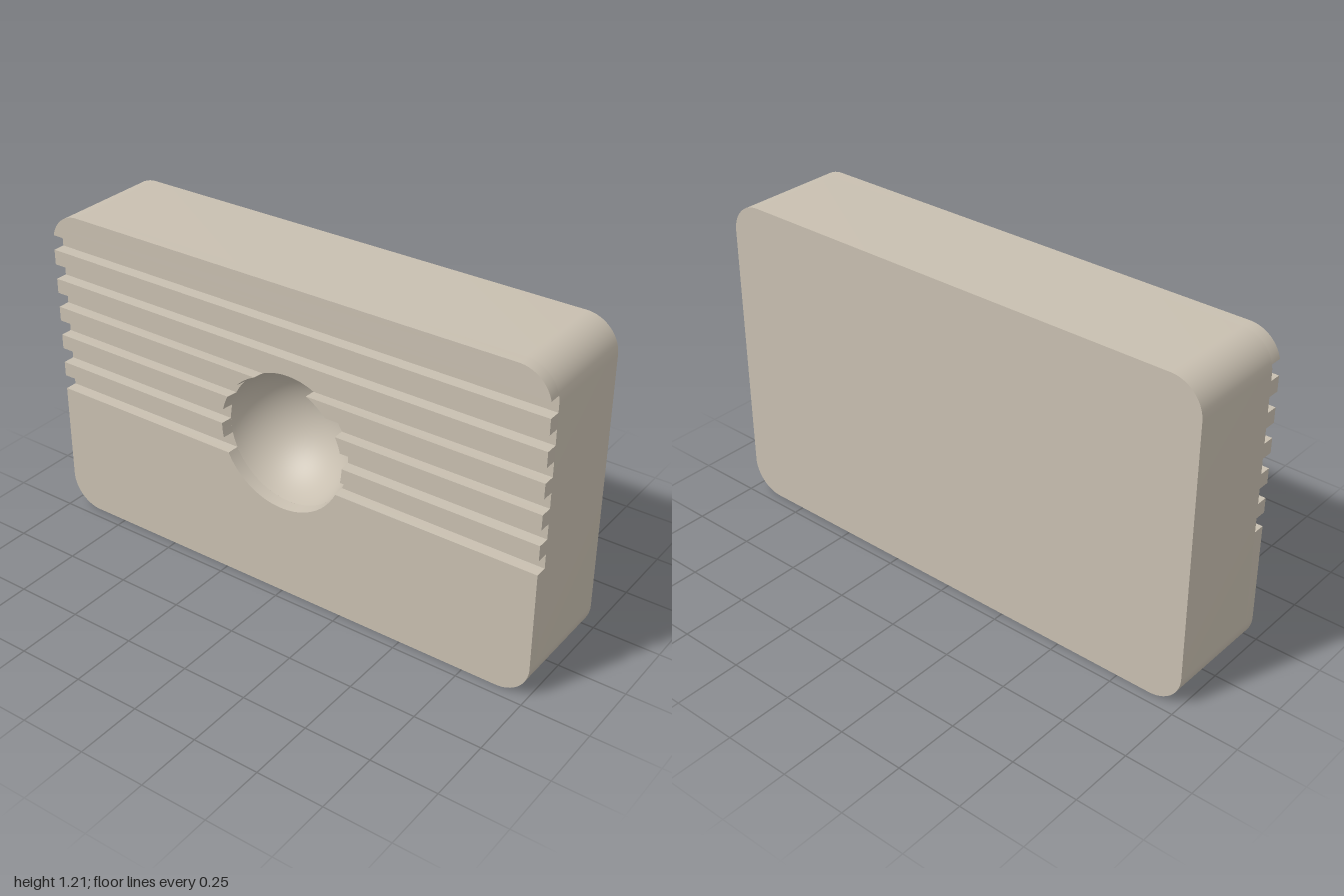
import * as THREE from 'three';
import { toCreasedNormals } from 'three/addons/utils/BufferGeometryUtils.js';

const H = 1.21, CORNER = 0.12, BACK = -0.21, FLOOR = 0.165, FRONT = 0.21;
const HOLE_Y = 0.605, R = 0.253;
const R_FLOOR = Math.sqrt(R * R - (FRONT - FLOOR) ** 2);
const ribs = [[0, 0.495], [0.55, 0.606], [0.664, 0.72], [0.778, 0.834],
  [0.89, 0.946], [1.003, 1.06], [1.117, H]];

// half width of the rounded block at height y
function halfWidth(y) {
  const d = Math.max(CORNER - y, y - (H - CORNER), 0);
  return 1 - CORNER + Math.sqrt(Math.max(CORNER * CORNER - d * d, 0));
}

// right-hand edge of the block between two heights, going up
function rightEdge(y0, y1) {
  const pts = [[halfWidth(y0), y0]];
  for (const [base, start] of [[CORNER, -Math.PI / 2], [H - CORNER, 0]]) {
    for (let i = 0; i <= 16; i++) {
      const a = start + (i / 16) * Math.PI / 2;
      const y = base + CORNER * Math.sin(a);
      if (y > y0 + 1e-4 && y < y1 - 1e-4) pts.push([1 - CORNER + CORNER * Math.cos(a), y]);
    }
  }
  pts.push([halfWidth(y1), y1]);
  return pts;
}

const mirror = (pts) => pts.map(([x, y]) => [-x, y]).reverse();
const toShape = (pts) => new THREE.Shape(pts.map(([x, y]) => new THREE.Vector2(x, y)));

// arc of the round recess between two angles
function holeArc(a0, a1, n) {
  return Array.from({ length: n + 1 }, (_, i) => {
    const a = a0 + (a1 - a0) * i / n;
    return [R * Math.cos(a), HOLE_Y + R * Math.sin(a)];
  });
}

// face shapes of one rib, cut where it meets the recess
function ribShapes(y0, y1) {
  const edge = rightEdge(y0, y1);
  const angle = (y) => Math.asin((y - HOLE_Y) / R);
  if (y0 > HOLE_Y + R) return [toShape([...edge, ...mirror(edge)])];
  if (y0 < HOLE_Y - R) {
    const a = angle(y1);
    return [toShape([...edge, ...holeArc(a, -Math.PI - a, 48), ...mirror(edge)])];
  }
  const half = [...edge, ...holeArc(angle(y1), angle(y0), 8)];
  return [toShape(half), toShape(mirror(half))];
}

function ribGeometry(shapes) {
  const g = new THREE.ExtrudeGeometry(shapes, { depth: FRONT - FLOOR, bevelEnabled: false });
  g.translate(0, 0, FLOOR);
  // lean the recess wall inward so that it follows the sphere
  const p = g.attributes.position;
  for (let i = 0; i < p.count; i++) {
    const x = p.getX(i), dy = p.getY(i) - HOLE_Y;
    if (p.getZ(i) < FLOOR + 1e-4 && Math.abs(Math.hypot(x, dy) - R) < 1e-3) {
      p.setXY(i, x * R_FLOOR / R, HOLE_Y + dy * R_FLOOR / R);
    }
  }
  return toCreasedNormals(g, 0.5);
}

export function createModel() {
  const group = new THREE.Group();
  const stone = new THREE.MeshStandardMaterial({ color: 0xc8bfb0 });
  stone.name = 'warm grey';
  const add = (name, geometry) => {
    const mesh = new THREE.Mesh(geometry, stone);
    mesh.name = name;
    group.add(mesh);
    return mesh;
  };
  const edge = rightEdge(0, H);
  const outline = () => toShape([...edge, ...mirror(edge)]);

  // outer walls: only the sides of the extruded outline
  const block = new THREE.ExtrudeGeometry(outline(), { depth: FLOOR - BACK, bevelEnabled: false });
  const side = block.groups.find((g) => g.materialIndex === 1);
  const pos = block.attributes.position.array.slice(side.start * 3, (side.start + side.count) * 3);
  const walls = new THREE.BufferGeometry();
  walls.setAttribute('position', new THREE.BufferAttribute(pos, 3));
  walls.translate(0, 0, BACK);
  add('outerWalls', toCreasedNormals(walls, 0.5));

  // plain back
  const back = add('backFace', new THREE.ShapeGeometry(outline()));
  back.rotation.y = Math.PI;
  back.position.z = BACK;

  // floor of the grooves, open at the recess
  const floorShape = outline();
  const hole = new THREE.Path();
  hole.absarc(0, HOLE_Y, R_FLOOR, 0, Math.PI * 2, true);
  floorShape.holes.push(hole);
  add('grooveFloor', new THREE.ShapeGeometry(floorShape, 48)).position.z = FLOOR;

  // raised ribs and the plain lower front
  ribs.forEach(([y0, y1], i) => add(i ? 'rib' + i : 'lowerFront', ribGeometry(ribShapes(y0, y1))));

  // hemispherical recess, seen from its inside
  const a0 = Math.asin((FRONT - FLOOR) / R);
  const profile = Array.from({ length: 25 }, (_, i) => {
    const a = a0 + (Math.PI / 2 - a0) * i / 24;
    return new THREE.Vector2(Math.max(R * Math.cos(a), 0), -R * Math.sin(a));
  });
  const bowl = new THREE.LatheGeometry(profile, 96);
  bowl.rotateX(Math.PI / 2);
  bowl.translate(0, HOLE_Y, FRONT);
  add('roundRecess', bowl);

  return group;
}
